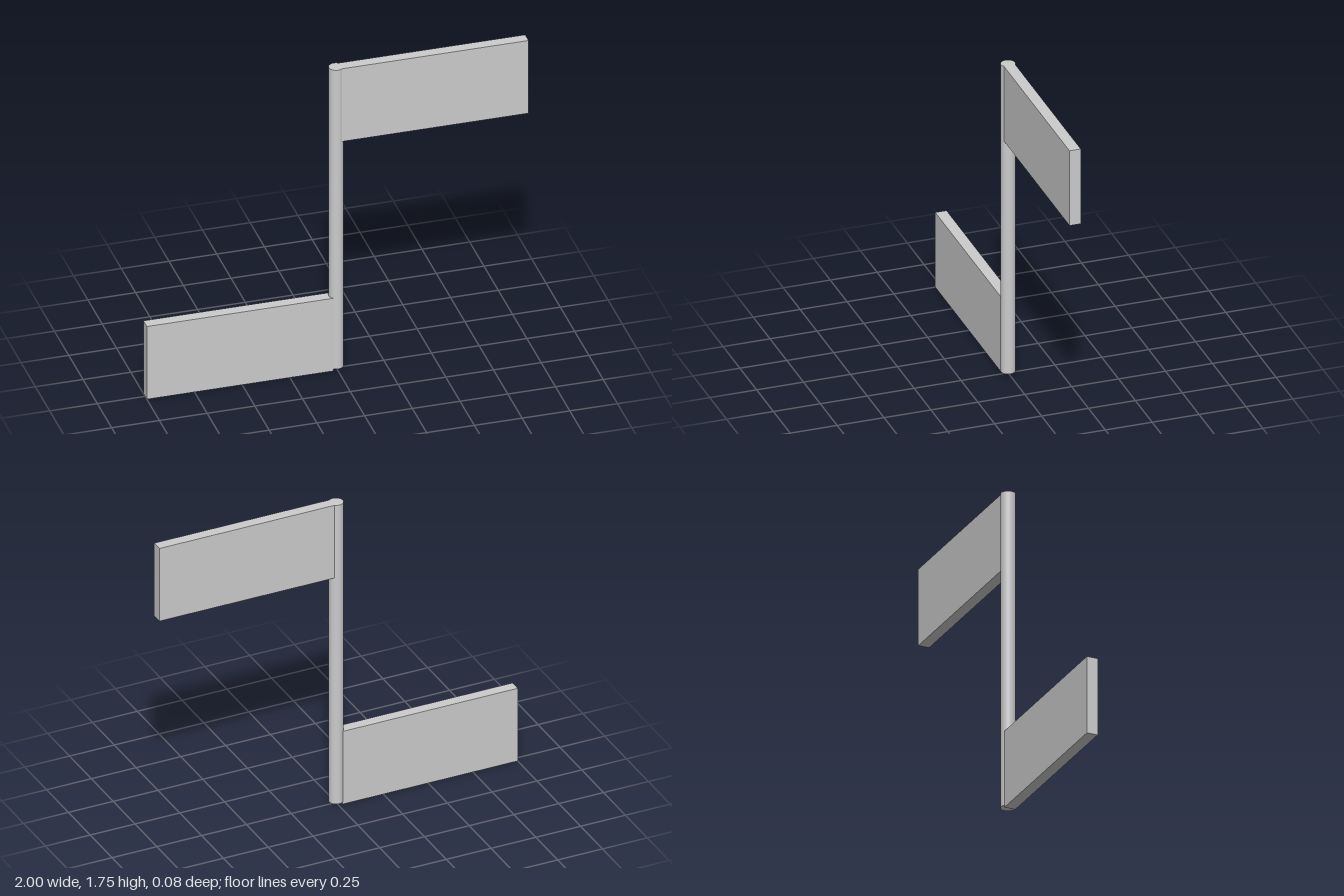
import * as THREE from 'three';

export function createModel() {
  const group = new THREE.Group();
  const material = new THREE.MeshStandardMaterial({ color: 0xcccccc });

  const add = (name, geometry, x, y, z) => {
    const mesh = new THREE.Mesh(geometry, material);
    mesh.name = name;
    mesh.position.set(x, y, z);
    group.add(mesh);
  };

  // Upright round pole, its foot just above the lower panel's bottom edge
  const bottom = 0.012, top = 1.75;
  add('pole', new THREE.CylinderGeometry(0.038, 0.038, top - bottom, 48), 0, (top + bottom) / 2, 0);

  // Flat panels reaching out to opposite sides, sunk into the pole
  const inner = 0.022, outer = 1, height = 0.423;
  const panel = new THREE.BoxGeometry(outer - inner, height, 0.06);
  const offset = (inner + outer) / 2;
  add('upperPanel', panel, offset, top - height / 2, 0);
  add('lowerPanel', panel, -offset, height / 2, 0);

  return group;
}
